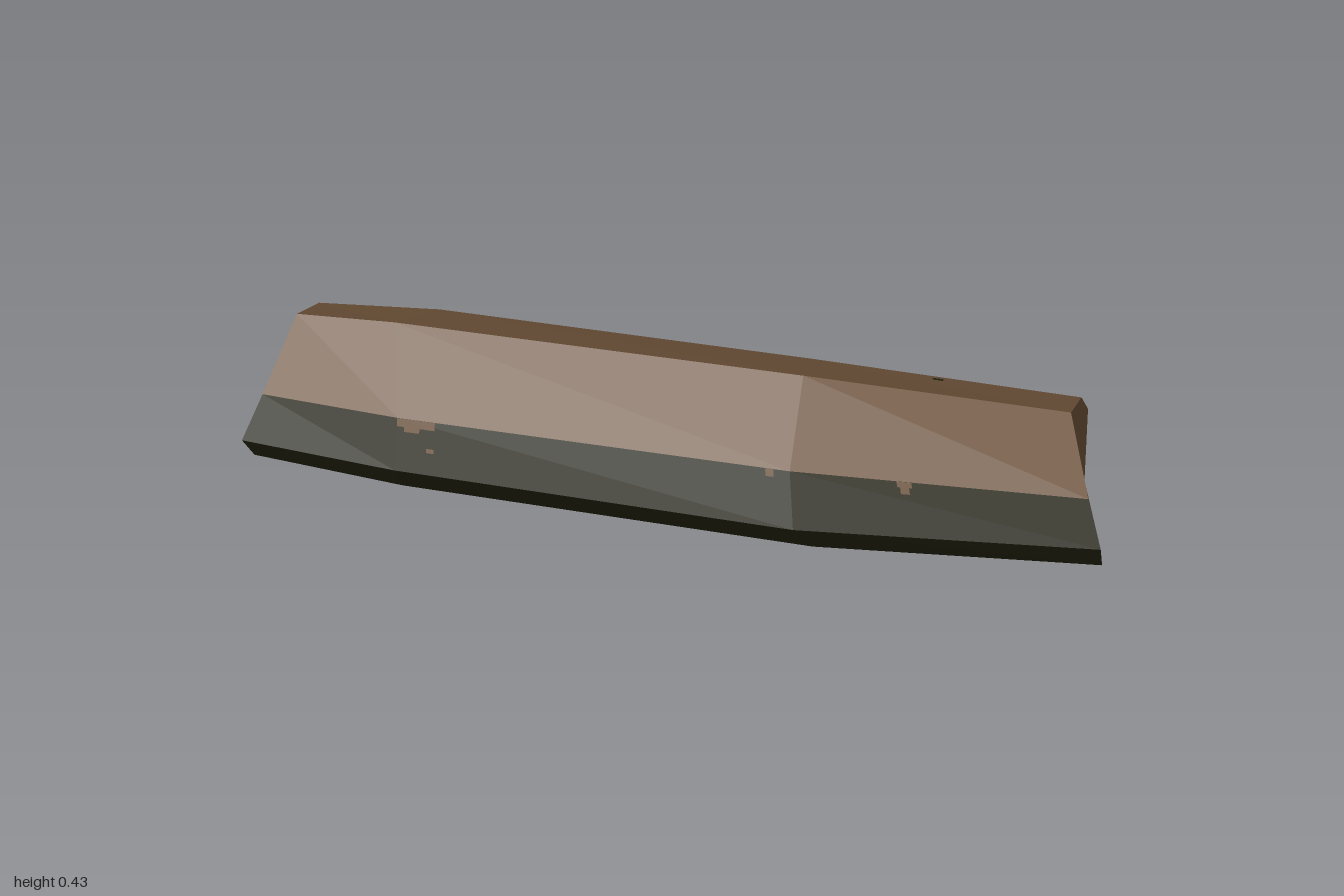
import * as THREE from 'three';

// Cross-sections along the log, each starting at the ridge and running front, bottom, back: [x, y, z]
const RINGS = [
  [[-0.91, 0.41, 0.01], [-0.94, 0.3, 0.19], [-0.985, 0.2, 0.245], [-1, 0.1, 0.175], [-0.975, 0.03, 0.06],
    [-0.965, 0.025, -0.09], [-0.955, 0.095, -0.225], [-0.945, 0.205, -0.3], [-0.93, 0.33, -0.16]],
  [[-0.66, 0.43, 0.03], [-0.6, 0.305, 0.225], [-0.6, 0.195, 0.28], [-0.62, 0.083, 0.2], [-0.62, 0.01, 0.08],
    [-0.62, 0.003, -0.1], [-0.62, 0.083, -0.245], [-0.62, 0.205, -0.313], [-0.62, 0.345, -0.165]],
  [[0.3, 0.427, 0.06], [0.3, 0.305, 0.25], [0.32, 0.193, 0.313], [0.36, 0.083, 0.235], [0.37, 0.01, 0.097],
    [0.36, 0, -0.1], [0.33, 0.083, -0.225], [0.3, 0.2, -0.285], [0.3, 0.335, -0.14]],
  [[0.89, 0.385, 0.03], [0.94, 0.285, 0.2], [0.98, 0.19, 0.25], [1, 0.09, 0.185], [0.98, 0.03, 0.07],
    [0.955, 0.023, -0.075], [0.94, 0.09, -0.195], [0.96, 0.195, -0.255], [0.925, 0.315, -0.13]],
];
const SIDES = 9;
const vec = (p) => new THREE.Vector3(...p);

// Corners of one long panel, counter-clockwise from outside
function panel(r, k) {
  const n = (k + 1) % SIDES;
  return [RINGS[r][k], RINGS[r][n], RINGS[r + 1][n], RINGS[r + 1][k]].map(vec);
}

function facetMesh(name, triangles, material) {
  const geometry = new THREE.BufferGeometry().setFromPoints(triangles);
  geometry.computeVertexNormals();
  const mesh = new THREE.Mesh(geometry, material);
  mesh.name = name;
  return mesh;
}

const quad = ([a, b, c, d]) => [a, b, c, a, c, d];

// Strips of panels running the full length of the log
function bands(name, sides, material) {
  const triangles = [];
  for (const k of sides) for (let r = 0; r < RINGS.length - 1; r++) triangles.push(...quad(panel(r, k)));
  return facetMesh(name, triangles, material);
}

// Fan over an end of the log, meeting at an inset centre
function endCap(name, ring, centre, flip, material) {
  const triangles = [];
  for (let k = 0; k < SIDES; k++) {
    const a = vec(ring[k]), b = vec(ring[(k + 1) % SIDES]);
    triangles.push(vec(centre), ...(flip ? [b, a] : [a, b]));
  }
  return facetMesh(name, triangles, material);
}

// Small flat fleck just above a panel; u runs along the log, v down the panel
function fleck(name, r, k, u0, u1, v0, v1, material) {
  const [a, b, c, d] = panel(r, k);
  const normal = c.clone().sub(a).cross(d.clone().sub(b)).normalize();
  const at = (u, v) => a.clone().lerp(d, u).lerp(b.clone().lerp(c, u), v).addScaledVector(normal, 0.003);
  return facetMesh(name, quad([at(u0, v0), at(u0, v1), at(u1, v1), at(u1, v0)]), material);
}

export function createModel() {
  const wood = new THREE.MeshStandardMaterial({ color: 0x6e5339 });
  wood.name = 'brown wood';
  const bark = new THREE.MeshStandardMaterial({ color: 0x25250f });
  bark.name = 'dark green bark';

  const log = new THREE.Group();
  log.name = 'splitLog';
  log.add(
    bands('splitWood', [0, 7, 8], wood),
    bands('bark', [1, 2, 3, 4, 5, 6], bark),
    endCap('leftEnd', RINGS[3], [0.945, 0.212, 0.045], false, wood),
    endCap('rightEnd', RINGS[0], [-0.95, 0.212, 0], true, wood),
  );

  // Chips where the wood shows through the top of the bark, and one dark knot
  const chips = [[1, 0, 0.1, 0, 0.15], [1, 0.02, 0.06, 0.15, 0.24], [1, 0.08, 0.1, 0.5, 0.58],
    [1, 0.94, 0.96, 0, 0.13], [2, 0.36, 0.41, 0, 0.1], [2, 0.37, 0.4, 0.1, 0.22]];
  for (const [r, ...span] of chips) log.add(fleck('barkChip', r, 1, ...span, wood));
  log.add(fleck('knot', 2, 8, 0.46, 0.5, 0.18, 0.28, bark));
  return log;
}
